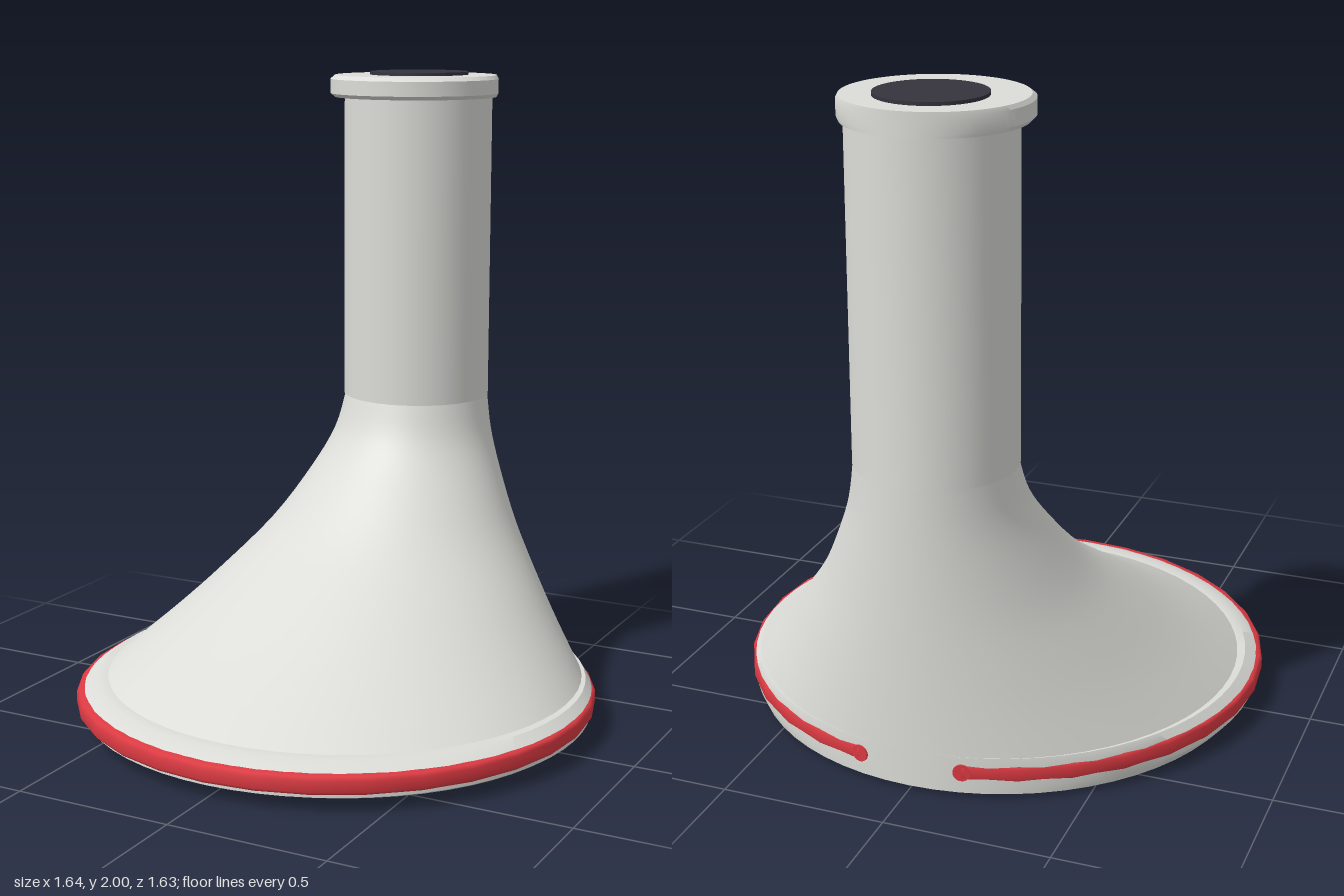
import * as THREE from 'three';
import { mergeVertices, toCreasedNormals } from 'three/addons/utils/BufferGeometryUtils.js';

const BACK = -0.815; // every ring of the body touches this upright line

const mat = (name, color) => {
  const m = new THREE.MeshStandardMaterial({ color });
  m.name = name;
  return m;
};

const vectors = (pairs) => pairs.map(([r, y]) => new THREE.Vector2(r, y));

// Lathe whose rings are slid back until they all meet at z = BACK
function tangentLathe(points, crease = 0.5, segments = 64) {
  let geo = new THREE.LatheGeometry(points, segments, Math.PI);
  const p = geo.attributes.position;
  for (let i = 0; i < p.count; i++) {
    const r = Math.hypot(p.getX(i), p.getZ(i));
    p.setZ(i, p.getZ(i) + BACK + r);
  }
  geo.deleteAttribute('normal');
  geo.deleteAttribute('uv');
  geo = mergeVertices(geo, 1e-5);
  return toCreasedNormals(geo, crease);
}

export function createModel() {
  const model = new THREE.Group();
  model.name = 'funnelBody';
  const shell = mat('pale grey', 0xdcdcd8);
  const red = mat('red', 0xdc3a42);
  const dark = mat('charcoal', 0x35333c);

  const add = (name, geo, material, x = 0, y = 0, z = 0) => {
    const mesh = new THREE.Mesh(geo, material);
    mesh.name = name;
    mesh.position.set(x, y, z);
    model.add(mesh);
    return mesh;
  };

  // Base rim with chamfered edges, and its flat underside
  const rim = [[0.775, 0.015], [0.805, 0.04], [0.805, 0.107], [0.775, 0.13], [0.755, 0.13]];
  add('baseRim', tangentLathe(vectors(rim)), shell);
  const underside = new THREE.CircleGeometry(0.775, 64).rotateX(Math.PI / 2);
  add('underside', underside, shell, 0, 0.015, BACK + 0.775);

  // Flared body sweeping up to the neck
  const flare = [[0.755, 0.13], [0.638, 0.25], [0.533, 0.37], [0.408, 0.53],
    [0.318, 0.69], [0.262, 0.82], [0.237, 0.94]];
  const curve = new THREE.SplineCurve(vectors(flare));
  add('flaredBody', tangentLathe(curve.getPoints(24)), shell);

  // Neck and its top flange
  add('neck', tangentLathe(vectors([[0.24, 0.94], [0.24, 1.92]])), shell);
  const lip = [[0.24, 1.92], [0.262, 1.92], [0.272, 1.932], [0.272, 1.978], [0.262, 1.99]];
  add('topFlange', tangentLathe(vectors(lip)), shell);
  const top = new THREE.CircleGeometry(0.262, 64).rotateX(-Math.PI / 2);
  add('flangeTop', top, shell, 0, 1.99, BACK + 0.262);

  // Dark disc on the top
  add('topCap', new THREE.CylinderGeometry(0.16, 0.16, 0.012, 48), dark, 0, 1.994, -0.58);

  // Red bumper strip, open at the back and rounded at both ends
  const gap = Math.PI / 16;
  const strip = [[0.79, 0.052], [0.812, 0.055], [0.82, 0.065], [0.82, 0.097], [0.812, 0.107], [0.79, 0.11]];
  add('bumperStrip', new THREE.LatheGeometry(vectors(strip), 30, -Math.PI + gap, 2 * (Math.PI - gap)), red);
  for (const side of [-1, 1]) {
    const a = Math.PI - side * gap;
    const end = new THREE.CylinderGeometry(0.026, 0.028, 0.03, 20).rotateX(Math.PI / 2);
    const mesh = add('bumperEnd', end, red, 0.804 * Math.sin(a), 0.081, 0.804 * Math.cos(a));
    mesh.rotation.y = a;

    // Small round feet
    add('foot', new THREE.CylinderGeometry(0.055, 0.055, 0.02, 24), shell, side * 0.3, 0.01, 0);
  }
  return model;
}
